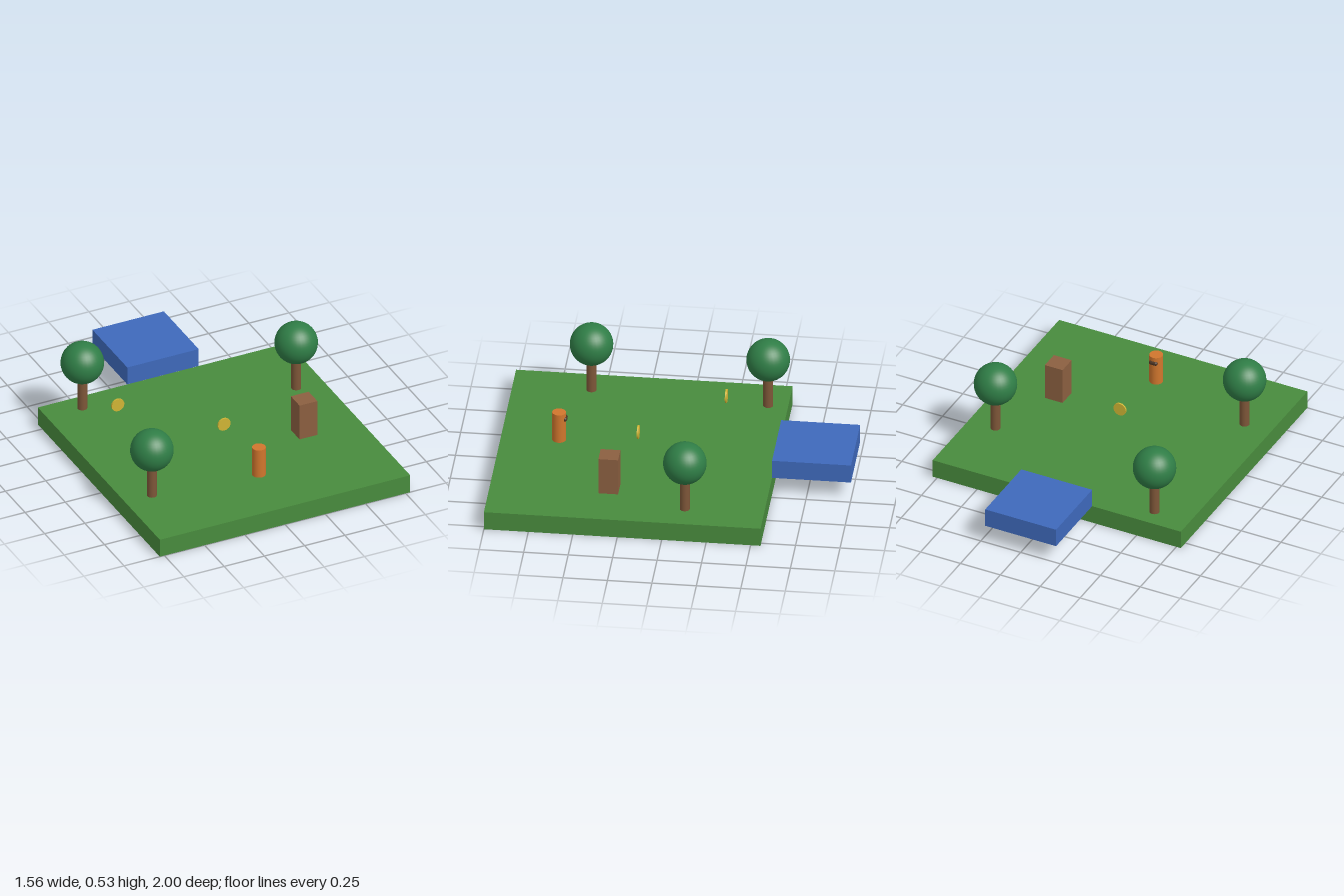
import * as THREE from 'three';

const paint = (name, color) => {
  const m = new THREE.MeshStandardMaterial({ color });
  m.name = name;
  return m;
};

export function createModel() {
  const grass = paint('grass green', 0x488b3d);
  const blue = paint('platform blue', 0x3e69bb);
  const bark = paint('bark brown', 0x7d5638);
  const leaf = paint('leaf green', 0x2f7d46);
  const crateBrown = paint('crate brown', 0x8b5f40);
  const orange = paint('figure orange', 0xd0762d);
  const dark = paint('visor dark brown', 0x4a3322);
  const gold = paint('coin gold', 0xd0b535);

  const model = new THREE.Group();
  model.name = 'gameIsland';
  const GROUND = 0.111;

  const add = (parent, name, geometry, material, x, y, z) => {
    const mesh = new THREE.Mesh(geometry, material);
    mesh.name = name;
    mesh.position.set(x, y, z);
    parent.add(mesh);
    return mesh;
  };

  // Ground slab and the raised platform behind it
  add(model, 'ground', new THREE.BoxGeometry(1.556, GROUND, 1.556), grass, 0, GROUND / 2, 0.222);
  add(model, 'platform', new THREE.BoxGeometry(0.444, 0.111, 0.444), blue, 0, 0.1667, -0.778);

  // Upright block
  add(model, 'block', new THREE.BoxGeometry(0.111, 0.222, 0.111), crateBrown, 0.444, 0.222, 0.333);

  // Trees: trunk with a round crown
  const trunkGeo = new THREE.CylinderGeometry(0.028, 0.028, 0.222, 24);
  const crownGeo = new THREE.SphereGeometry(0.122, 32, 24);
  for (const [x, z] of [[-0.556, -0.444], [0.611, -0.111], [-0.611, 0.556]]) {
    const tree = new THREE.Group();
    tree.name = 'tree';
    tree.position.set(x, GROUND, z);
    add(tree, 'trunk', trunkGeo, bark, 0, 0.111, 0);
    add(tree, 'crown', crownGeo, leaf, 0, 0.298, 0);
    model.add(tree);
  }

  // Upright coins facing front
  const coinGeo = new THREE.CylinderGeometry(0.039, 0.039, 0.01, 24).rotateX(Math.PI / 2);
  for (const [x, z] of [[-0.444, -0.222], [0, 0.222]]) {
    add(model, 'coin', coinGeo, gold, x, 0.224, z);
  }

  // Hovering figure looking towards the platform
  const figure = new THREE.Group();
  figure.name = 'figure';
  figure.position.set(0, 0.234, 0.667);
  add(figure, 'body', new THREE.CylinderGeometry(0.039, 0.039, 0.178, 24), orange, 0, 0, 0);
  const visorGeo = new THREE.CapsuleGeometry(0.013, 0.026, 6, 16).rotateZ(Math.PI / 2);
  add(figure, 'visor', visorGeo, dark, 0, 0.052, -0.034);
  model.add(figure);

  return model;
}
